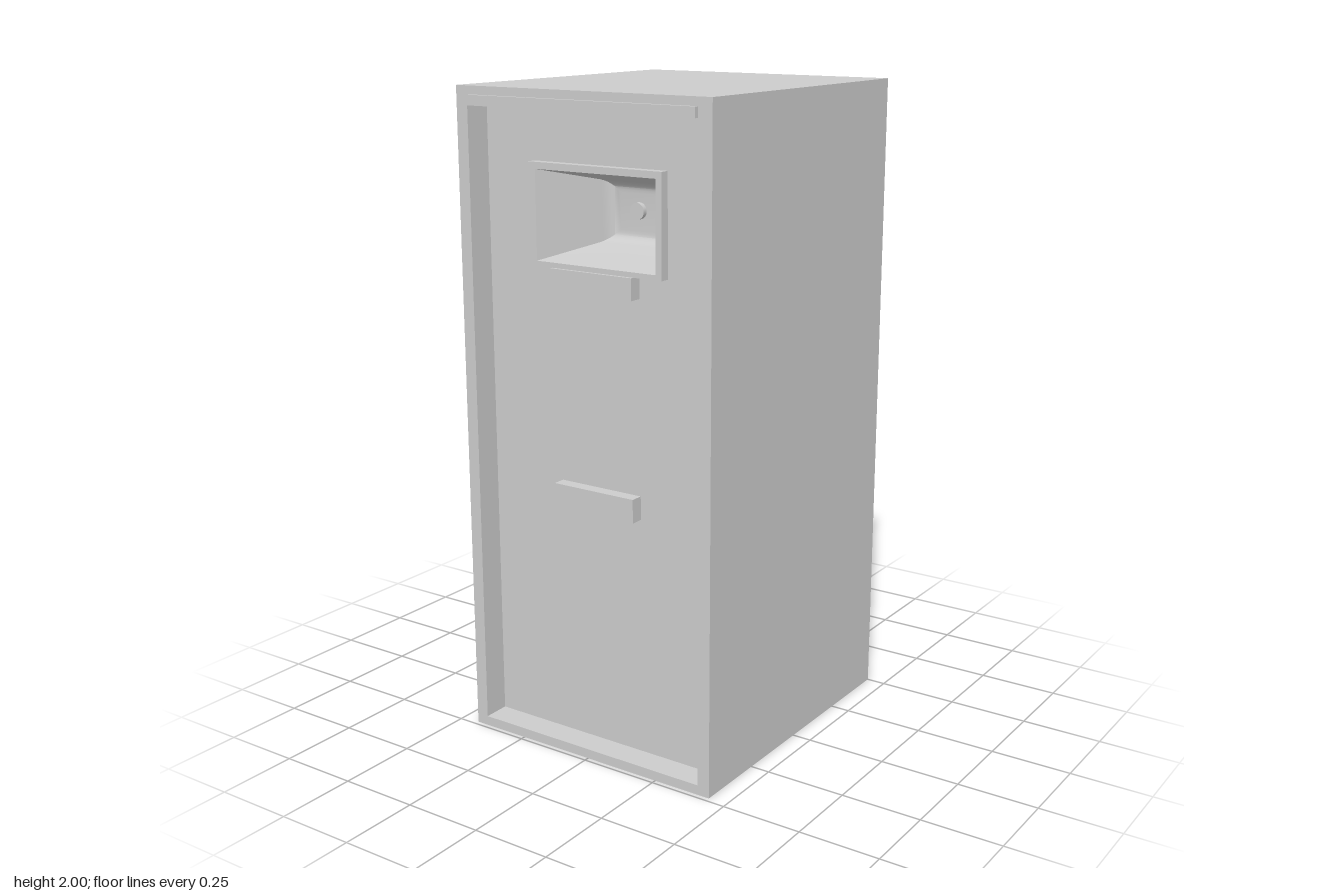
import * as THREE from 'three';
import { toCreasedNormals } from 'three/addons/utils/BufferGeometryUtils.js';

const grey = new THREE.MeshStandardMaterial({ color: 0xcccccc });
const FRONT = 0.485, PANEL = 0.4, FRAME = 0.43;

// Rectangles are [x0, x1, y0, y1].
const OUTER = [-0.44, 0.44, 0, 2];
const RECESS = [-0.4, 0.4, 0.03, 1.945];
const OPENING = [-0.2, 0.22, 1.505, 1.77];

const corners = ([x0, x1, y0, y1]) => [[x0, y0], [x1, y0], [x1, y1], [x0, y1]];

function rectShape(rect, hole) {
  const toPoints = r => corners(r).map(p => new THREE.Vector2(...p));
  const shape = new THREE.Shape(toPoints(rect));
  if (hole) shape.holes.push(new THREE.Path(toPoints(hole)));
  return shape;
}

// Inward-facing walls through rectangles [rect, z], ordered front to back.
function innerWalls(rings, closeBack) {
  const pos = [];
  const pts = rings.map(([r, z]) => corners(r).map(([x, y]) => [x, y, z]));
  const quad = (a, b, c, d) => pos.push(...a, ...b, ...c, ...a, ...c, ...d);
  for (let k = 0; k + 1 < pts.length; k++) {
    for (let i = 0; i < 4; i++) {
      const j = (i + 1) % 4;
      quad(pts[k][i], pts[k][j], pts[k + 1][j], pts[k + 1][i]);
    }
  }
  if (closeBack) quad(...pts[pts.length - 1]);
  const geo = new THREE.BufferGeometry();
  geo.setAttribute('position', new THREE.Float32BufferAttribute(pos, 3));
  return toCreasedNormals(geo, 0.6);
}

export function createModel() {
  const model = new THREE.Group();
  const add = (name, geo, x = 0, y = 0, z = 0) => {
    const mesh = new THREE.Mesh(geo, grey);
    mesh.name = name;
    mesh.position.set(x, y, z);
    model.add(mesh);
    return mesh;
  };
  const addBlock = (name, [x0, x1, y0, y1], z0, z1) =>
    add(name, new THREE.BoxGeometry(x1 - x0, y1 - y0, z1 - z0), (x0 + x1) / 2, (y0 + y1) / 2, (z0 + z1) / 2);

  // Cabinet: a box without its front face
  const shell = new THREE.BoxGeometry(0.88, 2, FRONT + 0.5);
  const index = Array.from(shell.index.array);
  index.splice(24, 6);
  shell.setIndex(index);
  shell.clearGroups();
  add('cabinetShell', shell, 0, 1, (FRONT - 0.5) / 2);

  // Front rim, recess walls and recessed door panel
  add('frontRim', new THREE.ShapeGeometry(rectShape(OUTER, RECESS)), 0, 0, FRONT);
  add('recessWalls', innerWalls([[RECESS, FRONT], [RECESS, PANEL]], false));
  add('doorPanel', new THREE.ShapeGeometry(rectShape(RECESS, OPENING)), 0, 0, PANEL);

  // Strip above the door
  addBlock('topStrip', [-0.397, 0.395, 1.945, 1.975], FRONT, 0.5);

  // Raised frame around the niche
  add('nicheFrame', new THREE.ExtrudeGeometry(rectShape([-0.225, 0.24, 1.49, 1.79], OPENING),
    { depth: FRAME - PANEL, bevelEnabled: false }), 0, 0, PANEL);

  // Tapering niche with a rounded transition to its back wall
  const cx = 0.01, cy = 1.637;
  const ring = (hx, hy, z) => [[cx - hx, cx + hx, cy - hy, cy + hy], z];
  const rings = [[OPENING, FRAME]];
  const bend = new THREE.QuadraticBezierCurve3(
    new THREE.Vector3(0.112, 0.092, 0.25),
    new THREE.Vector3(0.095, 0.082, 0.215),
    new THREE.Vector3(0.065, 0.055, 0.215));
  for (const p of bend.getPoints(6)) rings.push(ring(p.x, p.y, p.z));
  add('niche', innerWalls(rings, true));

  // Small round button on the niche's back wall
  add('nicheButton', new THREE.CylinderGeometry(0.025, 0.025, 0.02, 32), 0.013, 1.642, 0.22)
    .rotation.x = Math.PI / 2;

  // Two door handles
  addBlock('upperHandle', [-0.143, 0.143, 1.425, 1.49], PANEL, 0.44);
  addBlock('lowerHandle', [-0.143, 0.143, 0.77, 0.842], PANEL, 0.44);

  return model;
}
